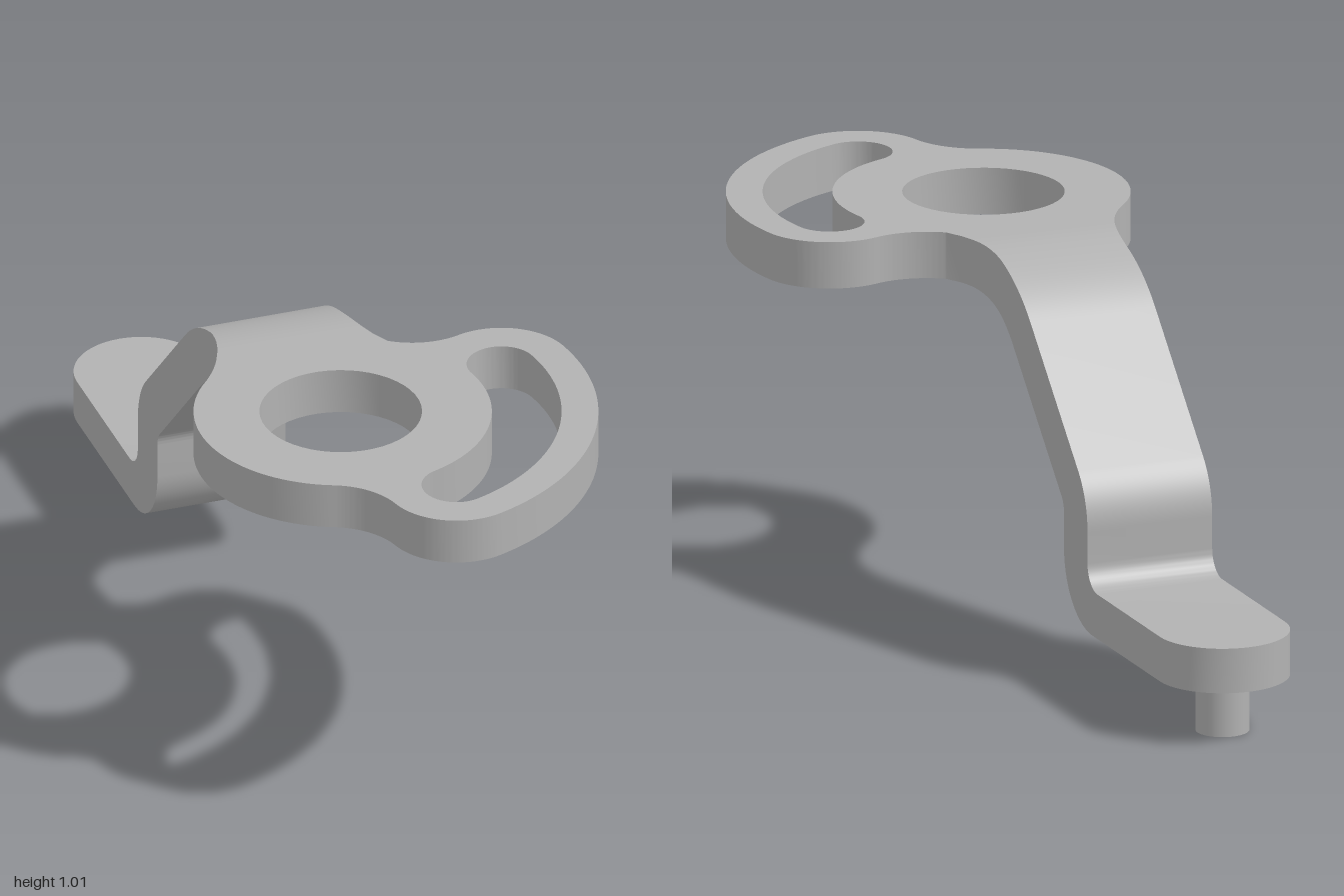
import * as THREE from 'three';
import { toCreasedNormals } from 'three/addons/utils/BufferGeometryUtils.js';

const steel = new THREE.MeshStandardMaterial({ color: 0xb2b2b2 });
steel.name = 'steel grey';

// Plan layout as (x, z): the arm runs from the pin to the hub
const PIN = new THREE.Vector2(-0.825, -0.63);
const HUB = new THREE.Vector2(0.335, 0.425);
const U = HUB.clone().sub(PIN).normalize();
const LENGTH = HUB.distanceTo(PIN);
const HUB_R = 0.38, ARM_R = 0.175, TOP = 1.015, THICK = 0.125;
const FLARE = 1.03, JOIN = 1.22;

// Point at distance s along the arm and n to its side
const at = (s, n) => new THREE.Vector2(PIN.x + s * U.x - n * U.y, PIN.y + s * U.y + n * U.x);
const angle = (from, to) => Math.atan2(to.y - from.y, to.x - from.x);
const polar = (r, a) => new THREE.Vector2(HUB.x + r * Math.cos(a), HUB.y + r * Math.sin(a));

// Half width of the arm: round tip, straight run, flare into the hub
function halfWidth(s, flareRadius) {
  if (s < 0) return Math.sqrt(Math.max(0, ARM_R * ARM_R - s * s));
  if (s < FLARE) return ARM_R;
  return ARM_R + flareRadius - Math.sqrt(flareRadius ** 2 - (s - FLARE) ** 2);
}
const LEFT_FLARE = 0.43, RIGHT_FLARE = 0.55;

// Side profile (s, y): round tip stations, then bends with the given radii
function profile(corners) {
  const pts = [];
  const y0 = corners[0][1];
  for (let i = 0; i <= 16; i++) pts.push(new THREE.Vector2(-ARM_R * Math.cos(i / 16 * Math.PI / 2), y0));
  for (let i = 0; i < corners.length - 1; i++) {
    const [x, y, r] = corners[i];
    const c = new THREE.Vector2(x, y);
    const prev = i ? new THREE.Vector2(corners[i - 1][0], corners[i - 1][1]) : new THREE.Vector2(0, y0);
    const next = new THREE.Vector2(corners[i + 1][0], corners[i + 1][1]);
    const d0 = prev.sub(c).normalize(), d1 = next.sub(c).normalize();
    const half = Math.acos(d0.dot(d1)) / 2;
    const centre = d0.clone().add(d1).normalize().multiplyScalar(r / Math.sin(half)).add(c);
    const start = c.clone().addScaledVector(d0, r / Math.tan(half));
    const end = c.clone().addScaledVector(d1, r / Math.tan(half));
    const a0 = angle(centre, start);
    let sweep = angle(centre, end) - a0;
    if (sweep > Math.PI) sweep -= 2 * Math.PI;
    if (sweep < -Math.PI) sweep += 2 * Math.PI;
    for (let k = 0; k <= 14; k++) {
      const a = a0 + sweep * k / 14;
      pts.push(new THREE.Vector2(centre.x + r * Math.cos(a), centre.y + r * Math.sin(a)));
    }
  }
  const last = corners[corners.length - 1];
  pts.push(new THREE.Vector2(last[0], last[1]));
  return pts;
}

// Cranked arm: four-cornered cross-sections lofted along both profiles
function armGeometry() {
  const upper = profile([[0.476, 0.27, 0.065], [0.476, 0.507, 0.21], [0.984, TOP, 0.46], [JOIN, TOP]]);
  const lower = profile([[0.63, 0.15, 0.185], [0.63, 0.454, 0.06], [1.066, TOP - THICK, 0.345], [JOIN, TOP - THICK]]);
  const pos = [], index = [];
  const add = (p, side) => {
    const w = halfWidth(p.x, side > 0 ? LEFT_FLARE : RIGHT_FLARE);
    const q = at(p.x, side * w);
    pos.push(q.x, p.y, q.y);
  };
  upper.forEach((up, i) => {
    add(up, 1); add(up, -1); add(lower[i], -1); add(lower[i], 1);
    if (!i) return;
    for (let j = 0; j < 4; j++) {
      const k = (j + 1) % 4, b = i * 4, a = b - 4;
      index.push(a + j, b + j, b + k, a + j, b + k, a + k);
    }
  });
  const geo = new THREE.BufferGeometry();
  geo.setAttribute('position', new THREE.Float32BufferAttribute(pos, 3));
  geo.setIndex(index);
  return toCreasedNormals(geo, 0.6);
}

// Hub plate with the bore and the curved adjusting slot
function plateGeometry() {
  const A1 = -1.026, A2 = 0.401, SLOT_R = 0.48, SLOT_W = 0.09, LUG_R = 0.185, FILLET = 0.2;
  const end1 = polar(SLOT_R, A1), end2 = polar(SLOT_R, A2);
  // Fillet centre touching both the hub and a lug end
  const a = ((HUB_R + FILLET) ** 2 - (LUG_R + FILLET) ** 2 + SLOT_R ** 2) / (2 * SLOT_R);
  const swing = Math.acos(a / (HUB_R + FILLET));
  const f1 = polar(HUB_R + FILLET, A1 - swing), f2 = polar(HUB_R + FILLET, A2 + swing);

  const shape = new THREE.Shape();
  const start = at(JOIN, halfWidth(JOIN, LEFT_FLARE));
  shape.moveTo(start.x, start.y);
  let p;
  for (let i = 1; i <= 8; i++) {
    const s = JOIN + i / 8 * (1.316 - JOIN);
    p = at(s, halfWidth(s, LEFT_FLARE));
    shape.lineTo(p.x, p.y);
  }
  shape.absarc(HUB.x, HUB.y, HUB_R, angle(HUB, p), angle(HUB, f2), true);
  shape.absarc(f2.x, f2.y, FILLET, angle(f2, HUB), angle(f2, end2), false);
  shape.absarc(end2.x, end2.y, LUG_R, angle(end2, f2), A2, true);
  shape.absarc(HUB.x, HUB.y, SLOT_R + LUG_R, A2, A1, true);
  shape.absarc(end1.x, end1.y, LUG_R, A1, angle(end1, f1), true);
  shape.absarc(f1.x, f1.y, FILLET, angle(f1, end1), angle(f1, HUB), false);
  const close = at(JOIN, -halfWidth(JOIN, RIGHT_FLARE));
  shape.lineTo(close.x, close.y);

  const bore = new THREE.Path();
  bore.absarc(HUB.x, HUB.y, 0.21, 0, Math.PI * 2, false);
  const slot = new THREE.Path();
  slot.absarc(HUB.x, HUB.y, SLOT_R + SLOT_W, A1, A2, false);
  slot.absarc(end2.x, end2.y, SLOT_W, A2, A2 + Math.PI, false);
  slot.absarc(HUB.x, HUB.y, SLOT_R - SLOT_W, A2, A1, true);
  slot.absarc(end1.x, end1.y, SLOT_W, A1 + Math.PI, A1 + 2 * Math.PI, false);
  shape.holes.push(bore, slot);

  const geo = new THREE.ExtrudeGeometry(shape, { depth: THICK, bevelEnabled: false, curveSegments: 24 });
  geo.rotateX(Math.PI / 2).translate(0, TOP, 0);
  return toCreasedNormals(geo, 0.6);
}

export function createModel() {
  const model = new THREE.Group();
  model.name = 'crankedLever';
  const part = (name, geo) => {
    const mesh = new THREE.Mesh(geo, steel);
    mesh.name = name;
    model.add(mesh);
    return mesh;
  };
  part('crankedArm', armGeometry());
  part('slottedHubPlate', plateGeometry());
  // Locating pin under the foot
  part('locatingPin', new THREE.CylinderGeometry(0.07, 0.07, 0.16, 40)).position.set(PIN.x, 0.08, PIN.y);
  return model;
}
